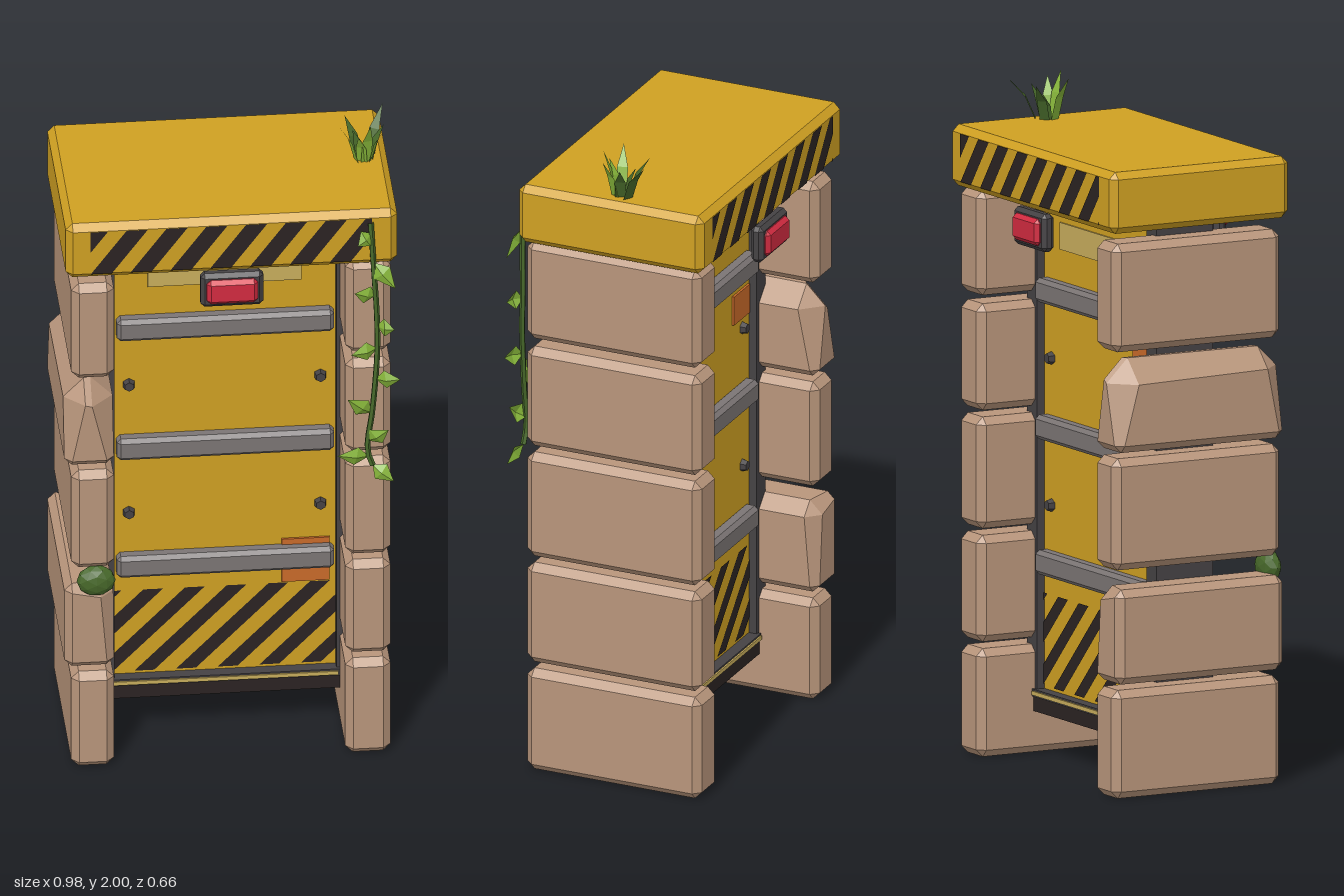
import * as THREE from 'three';
import { ConvexGeometry } from 'three/addons/geometries/ConvexGeometry.js';

const mat = (name, color, side = THREE.FrontSide) =>
  Object.assign(new THREE.MeshStandardMaterial({ color, flatShading: true, side }), { name });
const V = (x, y, z) => new THREE.Vector3(x, y, z);

export function createModel() {
  const M = {
    yellow: mat('yellow paint', 0xcfa022),
    stone: mat('stone', 0xb8957b),
    black: mat('black stripe', 0x2b2322),
    grey: mat('bar grey', 0x7b7574),
    dark: mat('dark metal', 0x454244),
    red: mat('red lamp', 0xd22b40),
    orange: mat('orange tag', 0xc96a2a),
    pale: mat('pale label', 0xc8ad5c),
    leaf: mat('leaf green', 0x86b53a, THREE.DoubleSide),
    green: mat('dark green', 0x47682a, THREE.DoubleSide),
  };
  const model = new THREE.Group();
  const body = new THREE.Group();
  body.name = 'structure';
  body.position.set(-0.005, 0, -0.01);
  model.add(body);

  const add = (parent, name, geo, material, x = 0, y = 0, z = 0) => {
    const m = new THREE.Mesh(geo, material);
    m.name = name;
    m.position.set(x, y, z);
    parent.add(m);
    return m;
  };

  // Box with all edges chamfered; corners listed in cuts ('+++' = x, y, z signs) are chopped deeper
  const chamferBox = (w, h, d, c, cuts = {}) => {
    const pts = [];
    for (const sx of [-1, 1]) for (const sy of [-1, 1]) for (const sz of [-1, 1]) {
      const k = cuts[[sx, sy, sz].map(s => (s > 0 ? '+' : '-')).join('')] || c;
      const X = w / 2, Y = h / 2, Z = d / 2;
      pts.push(V(sx * X, sy * (Y - k), sz * (Z - k)),
        V(sx * (X - k), sy * Y, sz * (Z - k)),
        V(sx * (X - k), sy * (Y - k), sz * Z));
    }
    return new ConvexGeometry(pts);
  };
  // Chamfered box given by its limits in x and y and its middle and depth in z
  const block = (parent, name, m, x0, x1, y0, y1, z, d, c, cuts) =>
    add(parent, name, chamferBox(x1 - x0, y1 - y0, d, c, cuts), m, (x0 + x1) / 2, (y0 + y1) / 2, z);

  // Slanted hazard stripes clipped to a rectangle
  const clipX = (poly, lim, s) => poly.flatMap((p, i) => {
    const q = poly[(i + 1) % poly.length], out = [];
    const a = s * (p.x - lim), b = s * (q.x - lim);
    if (a >= 0) out.push(p);
    if (a * b < 0) out.push(p.clone().lerp(q, a / (a - b)));
    return out;
  });
  const stripes = (parent, name, x0, x1, y0, y1, z, start, period, width, slant) => {
    const shapes = [];
    for (let a = start; a < x1; a += period) {
      let poly = [[a, y0], [a + width, y0], [a + width + slant, y1], [a + slant, y1]]
        .map(p => new THREE.Vector2(...p));
      poly = clipX(clipX(poly, x0, 1), x1, -1);
      if (poly.length > 2) shapes.push(new THREE.Shape(poly));
    }
    add(parent, name, new THREE.ShapeGeometry(shapes), M.black, 0, 0, z);
  };

  // Stone piers: left (+x) and right (-x), five blocks each
  const leftRows = [[0.005, 0.325], [0.345, 0.66], [0.68, 1.01], [1.03, 1.345], [1.37, 1.68]];
  leftRows.forEach(([y0, y1]) =>
    block(body, 'leftPierBlock', M.stone, 0.335, 0.467, y0, y1, 0, 0.56, 0.022));
  const rightRows = [
    [0.005, 0.325, -0.467], [0.345, 0.625, -0.487, { '+++': 0.04, '++-': 0.04 }],
    [0.68, 1.01, -0.467], [1.03, 1.30, -0.487, { '+++': 0.065, '-++': 0.06, '-+-': 0.07, '++-': 0.06 }],
    [1.325, 1.645, -0.467]];
  rightRows.forEach(([y0, y1, x0, cuts]) =>
    block(body, 'rightPierBlock', M.stone, x0, -0.342, y0, y1, 0, 0.56, 0.022, cuts));

  // Dark metal uprights beside the door, reaching behind the blocks
  for (const s of [-1, 1]) {
    add(body, 'frameUpright', new THREE.BoxGeometry(0.06, 1.52, 0.19), M.dark, s * 0.355, 0.92, 0);
  }

  // Lintel with chamfered edges
  block(body, 'lintel', M.yellow, -0.485, 0.485, 1.68, 1.862, 0, 0.595, 0.02);

  // Door slab, sill and base
  add(body, 'door', new THREE.BoxGeometry(0.66, 1.5, 0.14), M.yellow, 0, 0.94, 0);
  add(body, 'base', new THREE.BoxGeometry(0.67, 0.045, 0.2), M.black, 0, 0.1525, 0);
  add(body, 'sill', new THREE.BoxGeometry(0.67, 0.022, 0.21), M.dark, 0, 0.185, 0);

  // Fittings of one face, repeated on the other by a half turn
  for (const back of [false, true]) {
    const face = new THREE.Group();
    face.name = back ? 'backFace' : 'frontFace';
    face.rotation.y = back ? Math.PI : 0;
    body.add(face);
    stripes(face, 'lintelStripes', -0.415, 0.41, 1.7, 1.842, 0.3005, -0.53, 0.1165, 0.062, 0.105);
    stripes(face, 'doorStripes', -0.328, 0.328, 0.205, 0.48, 0.073, -0.63, 0.122, 0.058, 0.27);
    add(face, 'sillStrip', new THREE.BoxGeometry(0.66, 0.012, 0.008), M.pale, 0, 0.185, 0.106);
    add(face, 'label', new THREE.BoxGeometry(0.45, 0.08, 0.006), M.pale, 0, 1.55, 0.072);
    for (const y of [0.575, 0.975, 1.38]) {
      block(face, 'crossBar', M.grey, -0.318, 0.318, y - 0.036, y + 0.036, 0.085, 0.05, 0.012);
    }
    for (const x of [-0.28, 0.28]) for (const y of [0.745, 1.18]) {
      add(face, 'bolt', new THREE.CylinderGeometry(0.015, 0.02, 0.02, 6), M.dark, x, y, 0.078).rotation.x = Math.PI / 2;
    }
    if (back) add(face, 'tag', new THREE.BoxGeometry(0.11, 0.09, 0.008), M.orange, 0.265, 1.26, 0.073);
    else add(face, 'tag', new THREE.BoxGeometry(0.14, 0.145, 0.008), M.orange, 0.237, 0.557, 0.073);
    // Warning lamp under the lintel
    block(face, 'lampHousing', M.dark, -0.092, 0.092, 1.568, 1.68, 0.288, 0.04, 0.012);
    block(face, 'lampGlass', M.red, -0.075, 0.075, 1.585, 1.664, 0.306, 0.034, 0.012);
  }

  // Triangle mesh from a list of points
  const tris = (parent, name, m, pts) => {
    const g = new THREE.BufferGeometry().setFromPoints(pts);
    g.computeVertexNormals();
    add(parent, name, g, m);
  };

  // Hanging vine with folded leaves
  const vine = new THREE.Group();
  vine.name = 'vine';
  model.add(vine);
  const stem = new THREE.CatmullRomCurve3([V(0.4, 1.83, 0.292), V(0.408, 1.68, 0.3), V(0.418, 1.5, 0.296),
    V(0.418, 1.38, 0.298), V(0.405, 1.2, 0.298), V(0.39, 1.06, 0.298), V(0.405, 1.01, 0.3)]);
  add(vine, 'vineStem', new THREE.TubeGeometry(stem, 24, 0.009, 5), M.green);
  const leaves = [[0.36, 1.77], [0.47, 1.62], [0.35, 1.61], [0.468, 1.48], [0.34, 1.40],
    [0.485, 1.31], [0.33, 1.25], [0.45, 1.14], [0.3, 1.06], [0.465, 0.965]];
  leaves.forEach(([x, y], i) => {
    const b = stem.getPoint(Math.min(1, 0.04 + i * 0.107));
    const t = V(x, y, 0.325);
    const dir = t.clone().sub(b), n = V(-dir.y, dir.x, 0).normalize().multiplyScalar(0.03);
    const mid = b.clone().lerp(t, 0.4), ridge = mid.clone().add(V(0, 0, 0.012));
    const l = mid.clone().add(n), r = mid.clone().sub(n);
    tris(vine, 'vineLeaf', M.leaf, [b, ridge, l, l, ridge, t, b, r, ridge, r, t, ridge]);
  });

  // Grass tuft on the lintel: each blade is a bent, tapering three-sided spike
  const tuft = new THREE.Group();
  tuft.name = 'grassTuft';
  model.add(tuft);
  const blades = [[0.475, 1.985, -0.12, 1], [0.36, 1.97, -0.085, 1], [0.335, 1.99, 0.01, 0], [0.39, 1.96, 0.03, 0],
    [0.425, 2.0, 0.035, 0], [0.47, 1.98, 0.015, 0], [0.47, 1.96, -0.04, 1], [0.38, 1.94, -0.05, 1]];
  blades.forEach(([x, y, z, dark]) => {
    const t = V(x, y, z), c = V(0.41, 1.858, -0.015);
    const b = c.clone().lerp(V(x, 1.858, z), 0.3), m = c.clone().lerp(t, 0.55);
    const side = V(-(z - c.z), 0, x - c.x).normalize().multiplyScalar(0.016);
    const bl = b.clone().add(side), br = b.clone().sub(side);
    const ml = m.clone().add(side), mr = m.clone().sub(side);
    tris(tuft, 'grassBlade', dark ? M.green : M.leaf, [bl, br, mr, bl, mr, ml, ml, mr, t]);
  });

  // Mossy lump on the right pier
  const moss = add(model, 'moss', new THREE.IcosahedronGeometry(0.052, 1), M.green, -0.4, 0.64, 0.262);
  moss.scale.set(1.1, 0.95, 0.62);

  return model;
}
